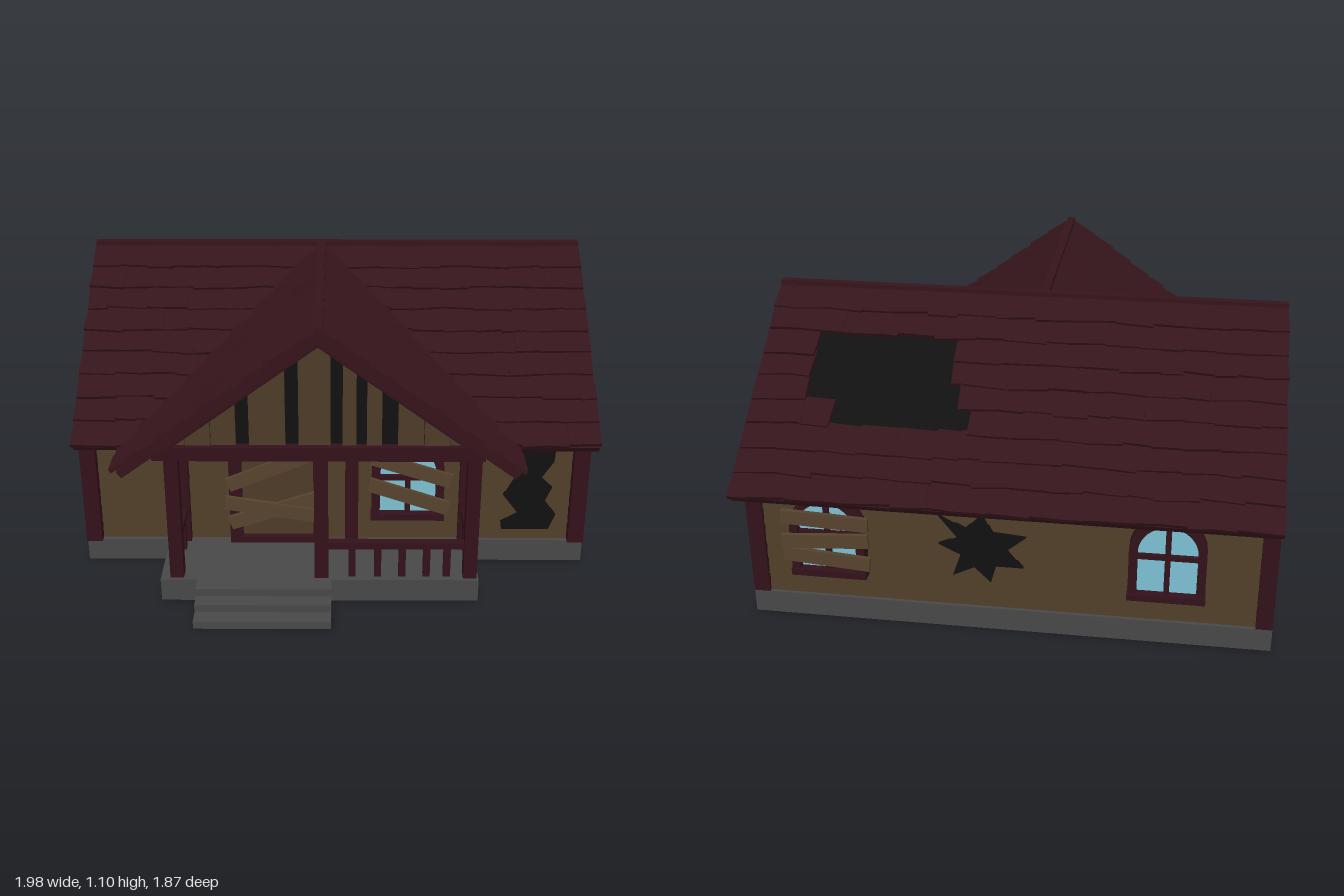
import * as THREE from 'three';
import { mergeGeometries } from 'three/addons/utils/BufferGeometryUtils.js';

const mat = (color) => new THREE.MeshStandardMaterial({ color, flatShading: true, roughness: 1 });
const roofMat = mat(0x35141b), trimMat = mat(0x33121a), wallMat = mat(0x4d3b27), boardMat = mat(0x56432d);
const stoneMat = mat(0x484848), glassMat = mat(0x7cc0d2), darkMat = mat(0x101010);

let seed = 7;
const rand = () => (seed = (seed * 16807) % 2147483647) / 2147483647;

function add(parent, name, geo, material) {
  const m = new THREE.Mesh(geo, material);
  m.name = name;
  parent.add(m);
  return m;
}
// Box given by its x, y and z ranges
function span(parent, name, material, x0, x1, y0, y1, z0, z1) {
  const m = add(parent, name, new THREE.BoxGeometry(x1 - x0, y1 - y0, z1 - z0), material);
  m.position.set((x0 + x1) / 2, (y0 + y1) / 2, (z0 + z1) / 2);
  return m;
}
const poly = (pts) => new THREE.Shape(pts.map(([x, y]) => new THREE.Vector2(x, y)));
const plate = (shape, depth) =>
  new THREE.ExtrudeGeometry(shape, { depth, bevelEnabled: false, curveSegments: 8 });

// Loose board nailed on at an angle
function board(parent, x, y, z, len, angle) {
  const m = add(parent, 'nailedBoard', new THREE.BoxGeometry(len, 0.055, 0.016), boardMat);
  m.position.set(x, y, z);
  m.rotation.z = angle;
}

// Group standing on one of the four walls, its local +z facing outward
function onWall(root, name, side, along) {
  const g = new THREE.Group();
  g.name = name;
  const [x, z, r] = {
    front: [along, 0.455, 0], back: [along, -0.78, Math.PI],
    left: [0.915, along, Math.PI / 2], right: [-0.915, along, -Math.PI / 2],
  }[side];
  g.position.set(x, 0, z);
  g.rotation.y = r;
  root.add(g);
  return g;
}

function archShape(r, y0, yc, Kind) {
  const s = new Kind();
  s.moveTo(-r, y0);
  s.lineTo(r, y0);
  s.lineTo(r, yc);
  s.absarc(0, yc, r, 0, Math.PI, false);
  s.lineTo(-r, y0);
  return s;
}
function arched(root, side, along, boards = []) {
  const g = onWall(root, 'archedWindow', side, along);
  const frame = archShape(0.137, 0.2, 0.398, THREE.Shape);
  frame.holes.push(archShape(0.106, 0.222, 0.398, THREE.Path));
  add(g, 'windowFrame', plate(frame, 0.05), trimMat);
  add(g, 'windowGlass', plate(archShape(0.11, 0.215, 0.398, THREE.Shape), 0.022), glassMat);
  span(g, 'verticalBar', trimMat, -0.01, 0.01, 0.21, 0.51, 0.01, 0.038);
  span(g, 'crossBar', trimMat, -0.11, 0.11, 0.362, 0.38, 0.01, 0.038);
  span(g, 'windowSill', trimMat, -0.14, 0.14, 0.196, 0.222, 0, 0.056);
  boards.forEach(([x, y, len, a], i) => board(g, x, y, 0.058 + 0.008 * (i % 2), len, a));
}

// Gable wall: dark attic behind planks with gaps, rake boards and a tie beam
function gable(parent, name, half, h, gaps) {
  const g = new THREE.Group();
  g.name = name;
  parent.add(g);
  add(g, 'atticDark', plate(poly([[-half, 0], [half, 0], [0, h]]), 0.01), darkMat);
  const top = (t) => h * (1 - Math.abs(t) / half);
  const cuts = [-half, ...gaps.flat(), half];
  for (let i = 0; i < cuts.length; i += 2) {
    const n = Math.max(1, Math.round((cuts[i + 1] - cuts[i]) / 0.1));
    const w = (cuts[i + 1] - cuts[i]) / n;
    for (let k = 0; k < n; k++) {
      const a = cuts[i] + k * w, b = a + w - 0.002;
      const pts = [[a, 0], [b, 0], [b, top(b)]];
      if (a < 0 && b > 0) pts.push([0, h]);
      pts.push([a, top(a)]);
      add(g, 'gablePlank', plate(poly(pts), 0.022 + 0.005 * (k % 2)), wallMat);
    }
  }
  for (const s of [-1, 1]) {
    const rake = add(g, 'rakeBoard', new THREE.BoxGeometry(Math.hypot(half, h) + 0.06, 0.035, 0.05), trimMat);
    rake.position.set(s * half / 2, h / 2, 0.025);
    rake.rotation.z = -s * Math.atan2(h, half);
  }
  span(g, 'tieBeam', trimMat, -half - 0.03, half + 0.03, -0.045, 0.008, -0.02, 0.045);
  return g;
}

// Roof slope: a deck plus rows of crooked shingles. w runs along the ridge, v down the slope
function slope(root, name, origin, dir, angle, rows, step, outline, ranges, hole) {
  const out = new THREE.Vector3(...dir), up = new THREE.Vector3(0, 1, 0);
  const v = out.clone().multiplyScalar(Math.cos(angle)).addScaledVector(up, -Math.sin(angle));
  const n = out.clone().multiplyScalar(Math.sin(angle)).addScaledVector(up, Math.cos(angle));
  const u = v.clone().cross(n), k = u.x + u.z > 0 ? 1 : -1;
  const g = new THREE.Group();
  g.name = name;
  g.applyMatrix4(new THREE.Matrix4().makeBasis(u, v, n).setPosition(...origin));
  root.add(g);
  const deck = plate(poly(outline.map(([w, d]) => [w * k, d])), 0.028);
  add(g, 'roofDeck', deck.translate(0, 0, -0.028), roofMat);
  if (hole) span(g, 'roofHole', darkMat, hole[0] * k, hole[1] * k, hole[2], hole[3], -0.01, 0.004);
  const parts = [];
  for (let i = 0; i < rows; i++) {
    for (const [a, b] of ranges(i * step, i)) {
      for (let w = a; w < b - 0.01;) {
        let wd = 0.07 + 0.09 * rand();
        if (b - w - wd < 0.05) wd = b - w;
        const box = new THREE.BoxGeometry(wd + 0.004, step * 1.2, 0.016);
        box.rotateX(0.1).rotateZ((rand() - 0.5) * 0.16);
        box.translate(k * (w + wd / 2), (i + 0.5) * step + 0.012 * rand(), 0.012 + 0.004 * rand());
        parts.push(box);
        w += wd;
      }
    }
  }
  add(g, 'shingles', mergeGeometries(parts), roofMat);
}

export function createModel() {
  const root = new THREE.Group();
  root.name = 'abandonedCabin';

  // Stone base, porch floor and steps
  span(root, 'foundation', stoneMat, -0.965, 0.955, 0, 0.09, -0.8, 0.478);
  span(root, 'porchFloor', stoneMat, -0.645, 0.527, 0, 0.09, 0.47, 0.757);
  [0.82, 0.877, 0.937].forEach((z, i) =>
    span(root, 'porchStep', stoneMat, -0.51, -0.015, 0, 0.09 - 0.03 * i, 0.7, z));

  // Walls with overlapping horizontal siding
  span(root, 'wallCore', wallMat, -0.905, 0.905, 0.09, 0.62, -0.77, 0.445);
  for (const [side, along, len] of [['front', 0, 1.82], ['back', 0, 1.82], ['left', -0.16, 1.22], ['right', -0.16, 1.22]]) {
    const g = onWall(root, 'siding', side, along);
    for (let i = 0; i < 7; i++) {
      const p = span(g, 'sidingPlank', wallMat, -len / 2, len / 2, 0.09 + i * 0.07, 0.162 + i * 0.07, -0.014, 0.004);
      p.rotation.x = -0.13;
    }
  }
  for (const x of [-0.935, 0.925]) {
    span(root, 'cornerPost', trimMat, x - 0.03, x + 0.03, 0.09, 0.6, 0.42, 0.495);
    span(root, 'cornerPost', trimMat, x - 0.03, x + 0.03, 0.09, 0.6, -0.8, -0.74);
  }
  span(root, 'frontWallBeam', trimMat, -0.95, 0.95, 0.575, 0.62, 0.43, 0.475);
  span(root, 'backWallBeam', trimMat, -0.95, 0.95, 0.575, 0.62, -0.795, -0.75);

  // Porch posts, ceiling and railings
  for (const x of [-0.585, -0.052, 0.495])
    span(root, 'porchPost', trimMat, x - 0.025, x + 0.025, 0.09, 0.59, 0.695, 0.745);
  for (const x of [-0.585, 0.06, 0.495])
    span(root, 'wallPost', trimMat, x - 0.025, x + 0.025, 0.09, 0.59, 0.44, 0.49);
  span(root, 'porchCeiling', trimMat, -0.6, 0.51, 0.6, 0.62, 0.44, 0.73);
  span(root, 'frontRail', trimMat, -0.05, 0.495, 0.208, 0.235, 0.705, 0.735);
  for (const x of [0.06, 0.155, 0.245, 0.335, 0.41])
    span(root, 'baluster', trimMat, x - 0.013, x + 0.013, 0.09, 0.21, 0.707, 0.733);
  for (const x of [-0.585, 0.495]) {
    span(root, 'sideRail', trimMat, x - 0.015, x + 0.015, 0.208, 0.235, 0.48, 0.7);
    for (const z of [0.54, 0.635])
      span(root, 'baluster', trimMat, x - 0.013, x + 0.013, 0.09, 0.21, z - 0.013, z + 0.013);
  }

  // Boarded-up door
  const door = onWall(root, 'door', 'front', -0.222);
  span(door, 'doorPanel', wallMat, -0.14, 0.14, 0.09, 0.54, 0, 0.02);
  for (const s of [-1, 1])
    span(door, 'doorJamb', trimMat, s * 0.16 - 0.024, s * 0.16 + 0.024, 0.09, 0.55, 0, 0.045);
  span(door, 'doorSill', trimMat, -0.18, 0.18, 0.09, 0.115, 0, 0.045);
  span(door, 'doorLintel', trimMat, -0.245, 0.2, 0.535, 0.575, 0, 0.055);
  board(door, -0.02, 0.42, 0.055, 0.36, 0.4);
  board(door, -0.02, 0.25, 0.063, 0.36, -0.16);
  board(door, -0.015, 0.24, 0.055, 0.35, 0.32);

  // Windows, some boarded over
  arched(root, 'front', 0.273, [[0.01, 0.42, 0.32, -0.32], [0, 0.31, 0.32, -0.33]]);
  arched(root, 'left', 0.14);
  arched(root, 'left', -0.48, [[0, 0.345, 0.33, 0.35], [0.01, 0.36, 0.31, -0.32]]);
  arched(root, 'right', -0.42, [[0, 0.44, 0.31, 0.08], [0, 0.35, 0.32, -0.06], [0, 0.27, 0.32, 0.05]]);
  arched(root, 'right', 0.12, [[0, 0.4, 0.33, 0.45], [0, 0.3, 0.33, 0.3]]);
  arched(root, 'back', 0.65, [[0, 0.44, 0.32, -0.05], [0, 0.36, 0.32, 0.07], [0, 0.28, 0.32, -0.08]]);
  arched(root, 'back', -0.58);

  // Broken holes in the walls
  const frontHole = onWall(root, 'frontWallHole', 'front', 0);
  add(frontHole, 'brokenHole', plate(poly([[0.65, 0.5], [0.83, 0.5], [0.825, 0.43], [0.78, 0.36], [0.825, 0.32],
    [0.8, 0.26], [0.845, 0.2], [0.82, 0.135], [0.64, 0.135], [0.635, 0.17], [0.7, 0.205], [0.64, 0.285],
    [0.68, 0.355], [0.645, 0.41], [0.68, 0.435]]), 0.014), darkMat);
  const backHole = onWall(root, 'backWallHole', 'back', 0.085);
  add(backHole, 'brokenHole', plate(poly([[-0.16, 0.47], [-0.06, 0.42], [0, 0.48], [0.04, 0.41], [0.16, 0.4],
    [0.09, 0.34], [0.15, 0.27], [0.05, 0.27], [0.03, 0.2], [-0.03, 0.26], [-0.11, 0.22], [-0.08, 0.31],
    [-0.16, 0.35], [-0.09, 0.38]]), 0.014), darkMat);

  // Gables: both ends and the porch front
  const endGaps = [[-0.33, -0.29], [-0.23, -0.2], [-0.09, -0.05], [0.05, 0.09], [0.15, 0.18]];
  for (const s of [-1, 1]) {
    const g = gable(root, 'endGable', 0.62, 0.435, endGaps);
    g.position.set(s * 0.905, 0.62, -0.16);
    g.rotation.y = s * Math.PI / 2;
  }
  gable(root, 'porchGable', 0.56, 0.415,
    [[-0.29, -0.245], [-0.115, -0.07], [0.045, 0.085], [0.135, 0.17], [0.225, 0.28]]).position.set(-0.06, 0.625, 0.705);

  // Main roof, with a hole at the back and a notch where the porch roof joins
  const E = 0.965, A = Math.atan(0.69), P = Math.atan(0.74), L = 0.91, Y = 1.07;
  slope(root, 'backRoof', [0, Y, -0.16], [0, 0, -1], A, 9, 0.1,
    [[-E, 0], [E, 0], [E, L], [-E, L]],
    (v, i) => i < 2 || i > 5 ? [[-E, E]] : i === 5 ? [[-E, 0.15], [0.66, E]] : [[-E, i === 4 ? 0.2 : 0.24], [0.77, E]],
    [0.13, 0.79, 0.18, 0.62]);
  slope(root, 'frontRoof', [0, Y, -0.16], [0, 0, 1], A, 9, 0.1,
    [[-E, 0], [E, 0], [E, L], [0.64, L], [-0.06, 0.02], [-0.76, L], [-E, L]],
    (v) => [[-E, -0.05 - 0.769 * v], [-0.07 + 0.769 * v, E]]);

  // Porch roof
  for (const s of [-1, 1])
    slope(root, 'porchRoof', [-0.06, Y, 0], [s, 0, 0], P, 9, 0.098,
      [[-0.16, 0], [0.765, 0], [0.765, 0.89], [0.61, 0.89]],
      (v) => [[-0.16 + 0.86 * v, 0.775]]);

  // Ridge caps
  span(root, 'mainRidgeCap', roofMat, -E, E, 1.075, 1.097, -0.175, -0.145);
  span(root, 'porchRidgeCap', roofMat, -0.075, -0.045, 1.075, 1.097, -0.16, 0.775);
  return root;
}
